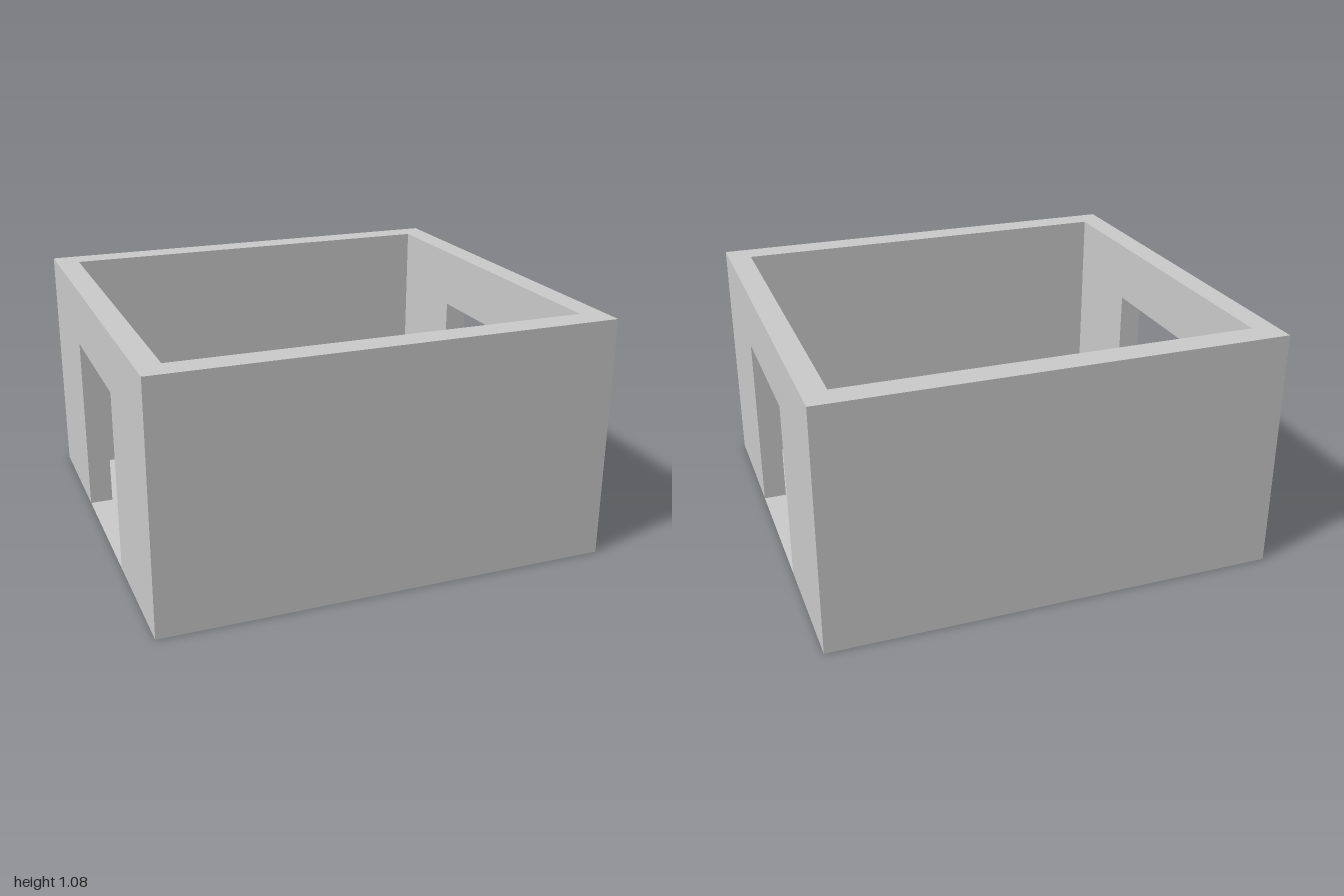
import * as THREE from 'three';

const HALF_X = 1, HALF_Z = 0.95, HEIGHT = 1.077;
const INNER_X = 0.896, INNER_Z = 0.83;
const DOOR_HALF = 0.347, DOOR_TOP = 0.81;

export function createModel() {
  const group = new THREE.Group();
  const material = new THREE.MeshStandardMaterial({ color: 0xcccccc, flatShading: true });

  function add(name, geometry, mat = material) {
    const mesh = new THREE.Mesh(geometry, mat);
    mesh.name = name;
    group.add(mesh);
    return mesh;
  }

  // Paper-thin floor under the whole room, running through the doorways
  const floorMaterial = material.clone();
  floorMaterial.side = THREE.DoubleSide;
  add('floor', new THREE.PlaneGeometry(2 * HALF_X, 2 * HALF_Z).rotateX(-Math.PI / 2), floorMaterial);

  // Solid front and back walls
  const thickZ = HALF_Z - INNER_Z;
  for (const [name, side] of [['frontWall', 1], ['backWall', -1]]) {
    add(name, new THREE.BoxGeometry(2 * HALF_X, HEIGHT, thickZ))
      .position.set(0, HEIGHT / 2, side * (HALF_Z + INNER_Z) / 2);
  }

  // Side walls, each with a doorway open down to the floor
  const outline = new THREE.Shape([
    [-INNER_Z, 0], [-DOOR_HALF, 0], [-DOOR_HALF, DOOR_TOP], [DOOR_HALF, DOOR_TOP],
    [DOOR_HALF, 0], [INNER_Z, 0], [INNER_Z, HEIGHT], [-INNER_Z, HEIGHT],
  ].map(([x, y]) => new THREE.Vector2(x, y)));
  const doorWall = new THREE.ExtrudeGeometry(outline, { depth: HALF_X - INNER_X, bevelEnabled: false });
  doorWall.translate(0, 0, INNER_X);
  for (const [name, side] of [['leftDoorWall', 1], ['rightDoorWall', -1]]) {
    add(name, doorWall).rotation.y = side * Math.PI / 2;
  }

  return group;
}
